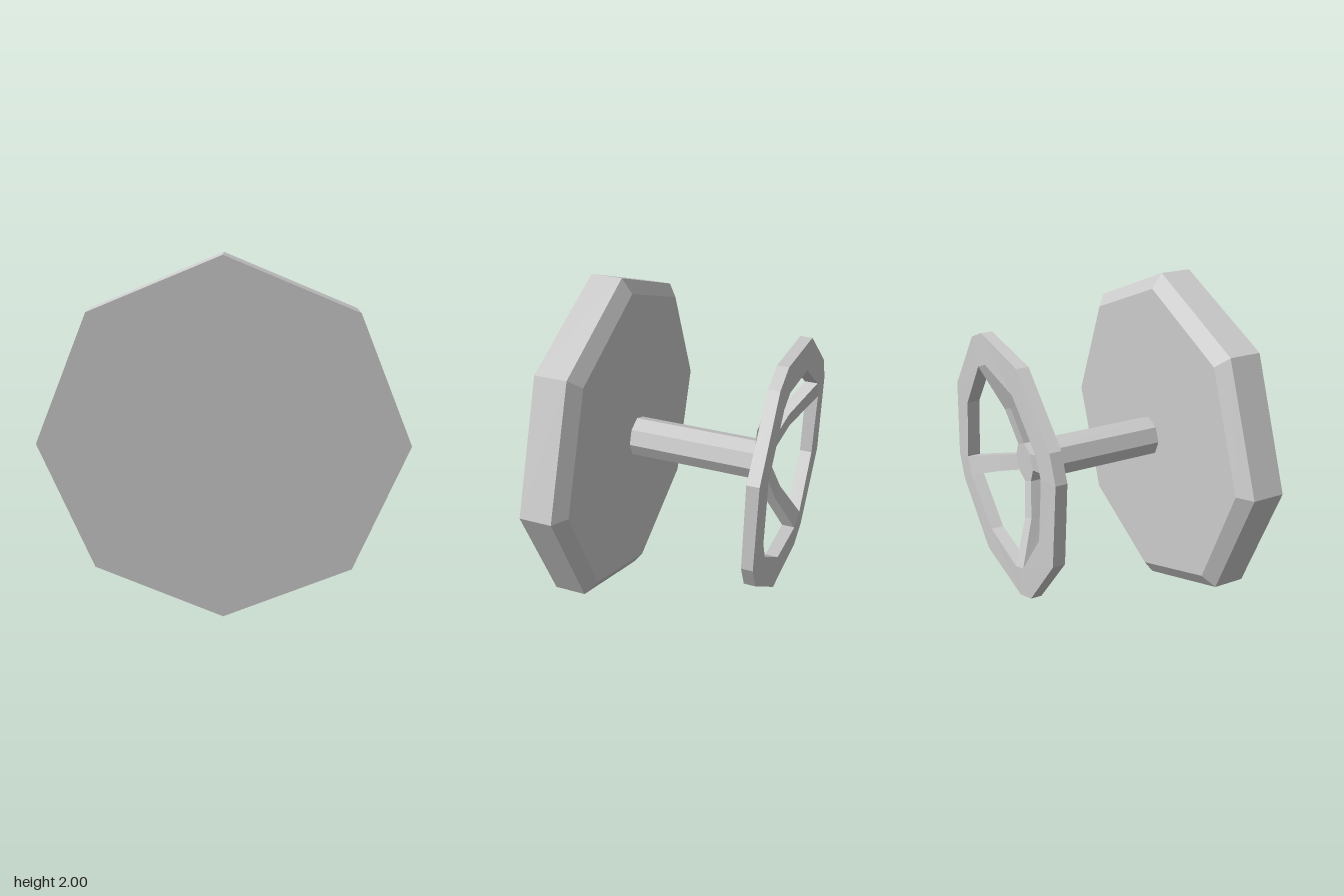
import * as THREE from 'three';

const material = new THREE.MeshStandardMaterial({ color: 0xcccccc, flatShading: true });

// Eight-sided turned part along z; profile is [radius, z] with z increasing
function turned(name, profile) {
  const geo = new THREE.LatheGeometry(profile.map(([r, z]) => new THREE.Vector2(r, z)), 8);
  geo.rotateX(Math.PI / 2);
  return part(name, geo);
}

function part(name, geo) {
  const mesh = new THREE.Mesh(geo, material);
  mesh.name = name;
  return mesh;
}

// Skin between four-cornered cross-sections, optionally closed into a ring
function loft(sections, closed) {
  const n = sections.length, pos = [];
  for (let i = 0; i < (closed ? n : n - 1); i++) {
    const s = sections[i], t = sections[(i + 1) % n];
    for (let j = 0; j < 4; j++) {
      const k = (j + 1) % 4;
      for (const p of [s[j], s[k], t[k], s[j], t[k], t[j]]) pos.push(...p);
    }
  }
  const geo = new THREE.BufferGeometry();
  geo.setAttribute('position', new THREE.Float32BufferAttribute(pos, 3));
  geo.computeVertexNormals();
  return geo;
}

export function createModel() {
  const group = new THREE.Group();
  group.name = 'pedestalWheel';
  const body = new THREE.Group();
  body.name = 'body';
  body.position.y = 1;
  group.add(body);

  // Octagonal plate with its rear edge chamfered
  body.add(turned('plate', [[0, 0.365], [0.915, 0.365], [1, 0.425], [1, 0.61], [0, 0.61]]));

  // Shaft from the plate to the wheel hub
  body.add(turned('shaft', [[0, -0.46], [0.12, -0.46], [0.12, 0.365]]));

  const spokeAngles = [0, 1, 2, 3].map(i => Math.PI * (3 / 8 + i / 2));

  // Rim: a pair of sections at each spoke and a single one between spokes
  const rimSections = [];
  const turn = (a, x, y, z) => [
    x * Math.cos(a) - y * Math.sin(a), x * Math.sin(a) + y * Math.cos(a), z];
  for (const a of spokeAngles) {
    for (const side of [-1, 1]) {
      rimSections.push([
        turn(a, 0.585, side * 0.06, -0.528), turn(a, 0.76, side * 0.083, -0.538),
        turn(a, 0.76, side * 0.083, -0.603), turn(a, 0.585, side * 0.06, -0.607)]);
    }
    const m = a + Math.PI / 4;
    rimSections.push([
      turn(m, 0.555, 0, -0.53), turn(m, 0.74, 0, -0.535),
      turn(m, 0.74, 0, -0.605), turn(m, 0.555, 0, -0.605)]);
  }
  body.add(part('rim', loft(rimSections, true)));

  // Bent spokes: front radius, front z, back radius, back z, half width
  const spokePath = [
    [0.11, -0.4, 0.11, -0.46, 0.046],
    [0.345, -0.437, 0.32, -0.5, 0.05],
    [0.585, -0.528, 0.585, -0.607, 0.06]];
  const spokeGeo = loft(spokePath.map(([rf, zf, rb, zb, w]) =>
    [[rf, w, zf], [rf, -w, zf], [rb, -w, zb], [rb, w, zb]]), false);
  for (const a of spokeAngles) {
    const spoke = part('spoke', spokeGeo);
    spoke.rotation.z = a;
    body.add(spoke);
  }
  return group;
}
